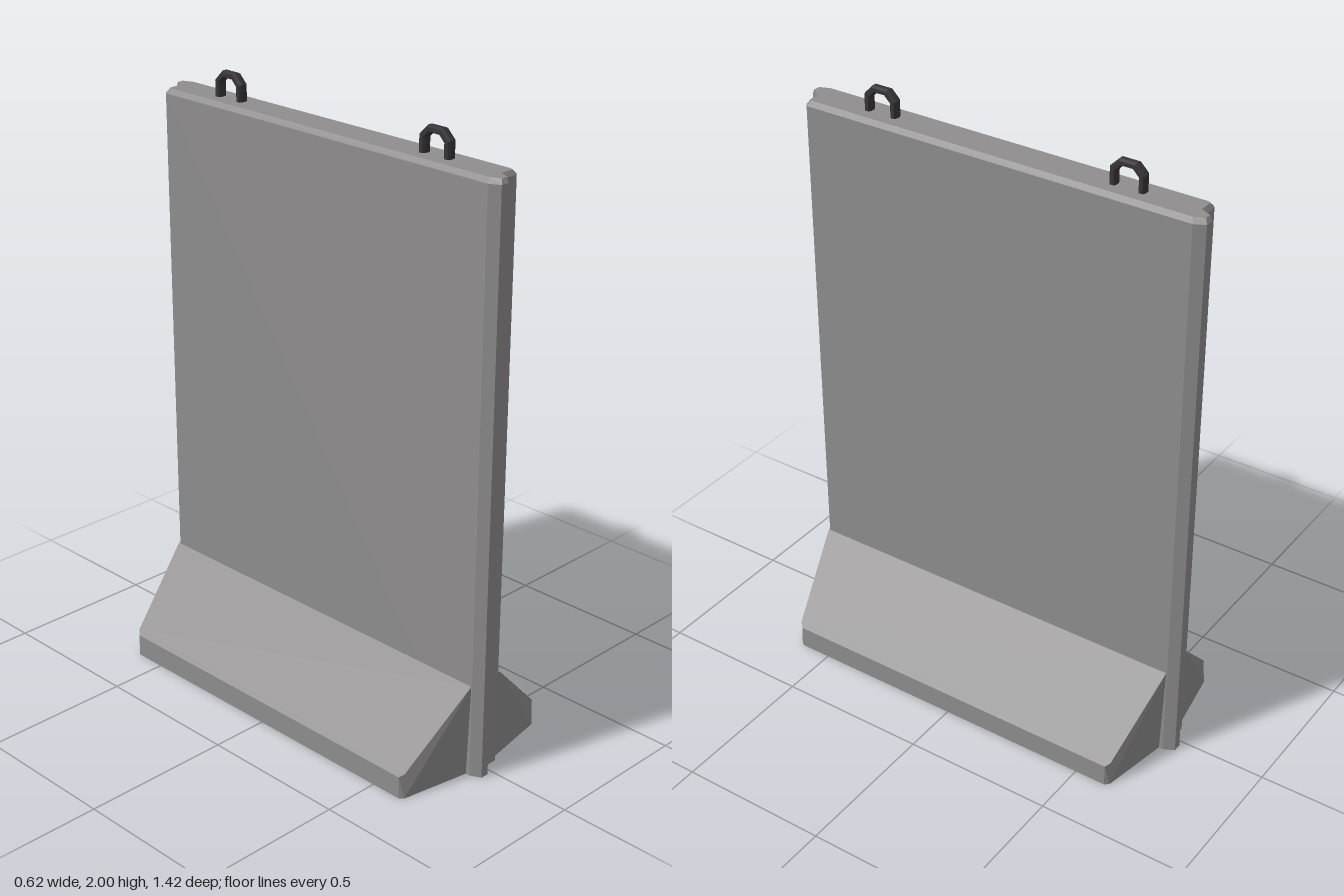
import * as THREE from 'three';

const concrete = new THREE.MeshStandardMaterial({ color: 0x8f8d8d });
concrete.name = 'concrete grey';
const steel = new THREE.MeshStandardMaterial({ color: 0x383435 });
steel.name = 'dark steel';

const toShape = (pts) => new THREE.Shape(pts.map(([x, y]) => new THREE.Vector2(x, y)));

// Move every vertex by a rule, then recompute flat normals
function reshape(geometry, rule) {
  const p = geometry.attributes.position;
  const v = new THREE.Vector3();
  for (let i = 0; i < p.count; i++) {
    v.fromBufferAttribute(p, i);
    rule(v);
    p.setXYZ(i, v.x, v.y, v.z);
  }
  geometry.computeVertexNormals();
  return geometry;
}

function addMesh(group, name, geometry, material) {
  const mesh = new THREE.Mesh(geometry, material);
  mesh.name = name;
  group.add(mesh);
  return mesh;
}

// Upright slab: interlocking tongue at opposite corners, chamfered top edge
function wallGeometry() {
  const half = [[-0.065, -0.675], [-0.048, -0.71], [-0.02, -0.71], [0, -0.675], [0.055, -0.675], [0.065, -0.665]];
  const plan = [...half, ...half.map(([x, y]) => [-x, -y])];
  const geo = new THREE.ExtrudeGeometry(toShape(plan), { depth: 1.915, steps: 2, bevelEnabled: false });
  geo.rotateX(-Math.PI / 2);
  return reshape(geo, (v) => {
    if (v.y > 1.5) {
      v.x *= 0.8;
      v.z *= 0.987;
    } else if (v.y > 0.5) v.y = 1.9;
  });
}

// Sloping foot whose ends slant inwards away from the wall
function footGeometry() {
  const profile = [[0, 0], [0.298, 0], [0.31, 0], [0.31, 0.075], [0.298, 0.087], [0.065, 0.315], [0, 0.315]];
  const geo = new THREE.ExtrudeGeometry(toShape(profile), { depth: 1, bevelEnabled: false });
  return reshape(geo, (v) => {
    let end = 0.672 - Math.max(0, v.x - 0.065) * 0.225;
    if (v.x > 0.305) end = 0.606;
    v.z = v.z > 0.5 ? end : -end;
  });
}

// Angular lifting loop with bevelled bar
function loopGeometry() {
  const outer = [[0.054, 1.9], [0.054, 1.967], [0.026, 1.995]];
  const inner = [[0.041, 1.9], [0.041, 1.962], [0.02, 1.983]];
  const mirror = (pts) => pts.map(([x, y]) => [-x, y]).reverse();
  const pts = [...outer, ...mirror(outer), ...mirror(inner).reverse(), ...inner.slice().reverse()];
  const geo = new THREE.ExtrudeGeometry(toShape(pts), {
    depth: 0.014, bevelThickness: 0.009, bevelSize: 0.005, bevelSegments: 1,
  });
  geo.translate(0, 0, -0.007);
  geo.rotateY(Math.PI / 2);
  return geo;
}

export function createModel() {
  const model = new THREE.Group();
  model.name = 'concreteBarrier';

  addMesh(model, 'wall', wallGeometry(), concrete);

  const foot = footGeometry();
  addMesh(model, 'leftFoot', foot, concrete);
  addMesh(model, 'rightFoot', foot, concrete).rotation.y = Math.PI;

  const loop = loopGeometry();
  addMesh(model, 'frontLiftingLoop', loop, steel).position.z = 0.427;
  addMesh(model, 'backLiftingLoop', loop, steel).position.z = -0.432;

  return model;
}
